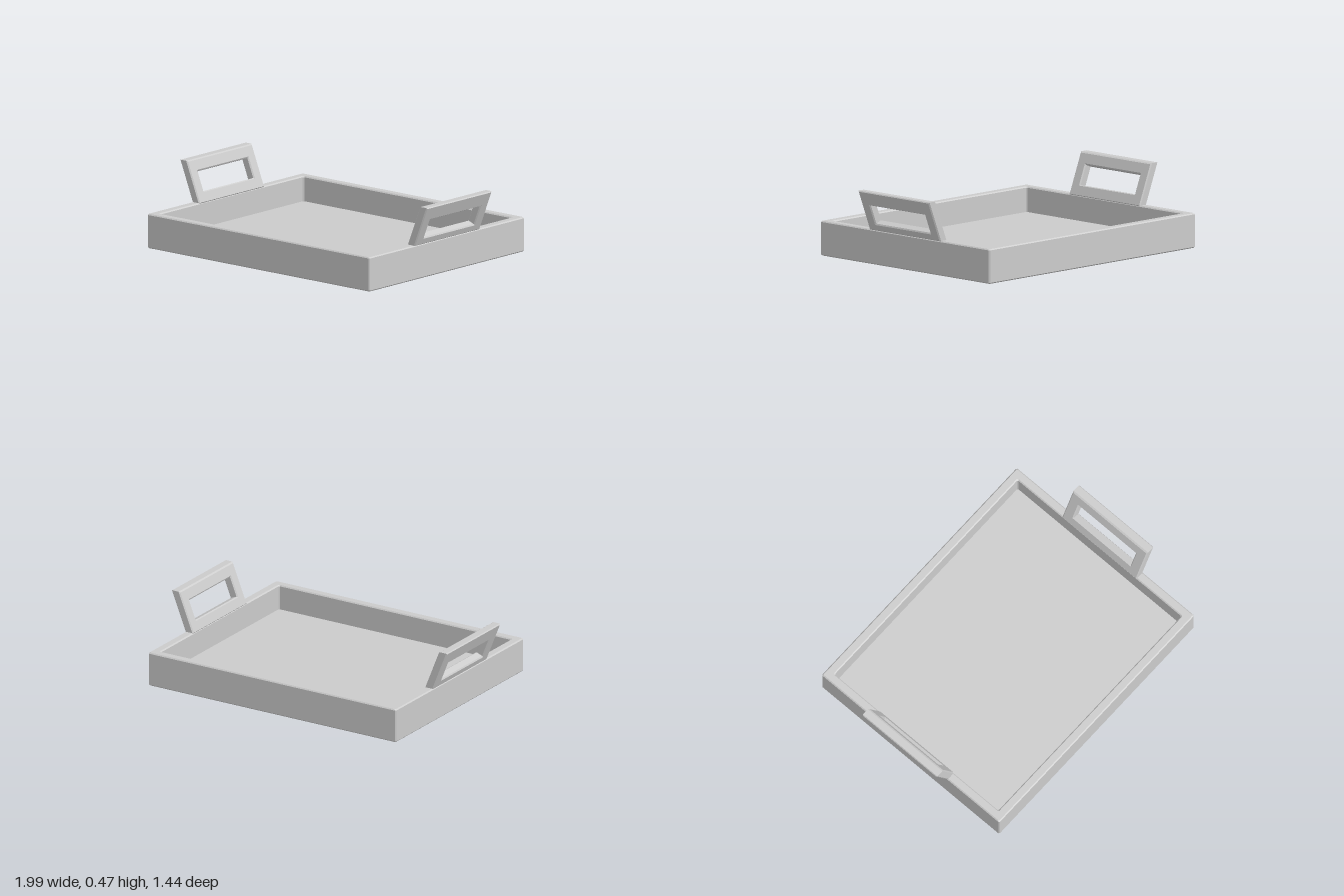
import * as THREE from 'three';

const material = new THREE.MeshStandardMaterial({ color: 0xcccccc });
const BEVEL = 0.007;

// Rectangle with tiny chamfered corners, as eight points at height y
function ring(a, b, y, c) {
  return [
    [a, b - c], [a - c, b], [c - a, b], [-a, b - c],
    [-a, c - b], [c - a, -b], [a - c, -b], [a, c - b],
  ].map(([x, z]) => [x, y, z]);
}

// Tray: one closed skin of rings from the underside, over the rim, to the floor
function trayGeometry() {
  const halfX = 0.897, halfZ = 0.722, height = 0.215, wall = 0.056, floor = 0.058;
  const profile = [ // inset from the outside, height
    [BEVEL, 0], [0, BEVEL],
    [0, height - BEVEL], [BEVEL, height],
    [wall - BEVEL, height], [wall, height - BEVEL],
    [wall, floor],
  ];
  const rings = profile.map(([inset, y]) => ring(halfX - inset, halfZ - inset, y, BEVEL));
  const n = 8, pos = [];
  const tri = (...corners) => corners.forEach((p) => pos.push(...p));
  const last = rings[rings.length - 1];
  for (let i = 0; i < n; i++) {
    const j = (i + 1) % n;
    tri([0, 0, 0], rings[0][i], rings[0][j]);
    for (let k = 0; k + 1 < rings.length; k++) {
      const p = rings[k], q = rings[k + 1];
      tri(p[i], q[i], p[j]);
      tri(p[j], q[i], q[j]);
    }
    tri(last[i], [0, floor, 0], last[j]);
  }
  const geo = new THREE.BufferGeometry();
  geo.setAttribute('position', new THREE.Float32BufferAttribute(pos, 3));
  geo.computeVertexNormals();
  return geo;
}

function rectPoints(halfWidth, low, high) {
  return [[-halfWidth, low], [halfWidth, low], [halfWidth, high], [-halfWidth, high]]
    .map(([x, y]) => new THREE.Vector2(x, y));
}

// Handle: a bevelled frame leaning outward, with its top and foot cut level
function handleGeometry() {
  const lean = Math.atan(0.4), sin = Math.sin(lean), cos = Math.cos(lean);
  const length = 0.275, thickness = 0.056, baseX = 0.897, baseY = 0.21;
  const shape = new THREE.Shape(rectPoints(0.303, 0, length));
  shape.holes.push(new THREE.Path(rectPoints(0.232, 0.05, 0.177).reverse()));
  const geo = new THREE.ExtrudeGeometry(shape, {
    depth: thickness - 2 * BEVEL,
    bevelThickness: BEVEL,
    bevelSize: BEVEL,
    bevelOffset: -BEVEL,
    bevelSegments: 1,
  });
  const pos = geo.attributes.position;
  for (let i = 0; i < pos.count; i++) {
    const w = pos.getZ(i) + BEVEL;
    let v = pos.getY(i);
    if (v < 0.02 || v > length - 0.02) v -= w * Math.tan(lean);
    pos.setXYZ(i, baseX + sin * v - cos * w, baseY + cos * v + sin * w, pos.getX(i));
  }
  geo.computeVertexNormals();
  return geo;
}

export function createModel() {
  const model = new THREE.Group();
  model.name = 'servingTray';

  const tray = new THREE.Mesh(trayGeometry(), material);
  tray.name = 'tray';
  model.add(tray);

  // Matching handles on the two short sides
  const geo = handleGeometry();
  ['leftHandle', 'rightHandle'].forEach((name, i) => {
    const handle = new THREE.Mesh(geo, material);
    handle.name = name;
    handle.rotation.y = i * Math.PI;
    model.add(handle);
  });
  return model;
}
